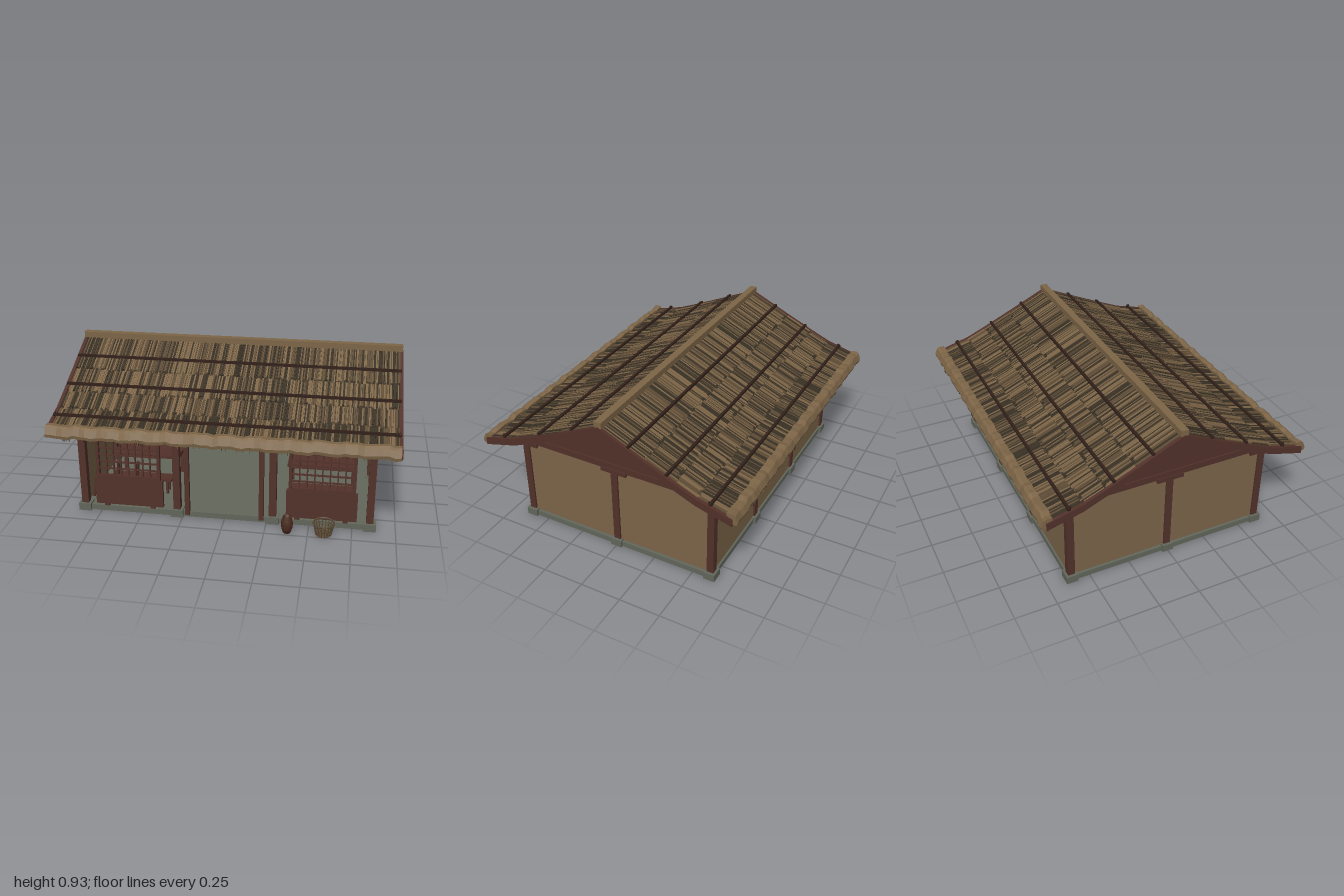
import * as THREE from 'three';
import { mergeGeometries } from 'three/addons/utils/BufferGeometryUtils.js';

const mat = (name, color) => Object.assign(new THREE.MeshStandardMaterial({ color }), { name });

export function createModel() {
  const model = new THREE.Group();
  model.name = 'thatchedHouse';
  const wood = mat('wood', 0x52312a), darkWood = mat('dark wood', 0x32201a);
  const plaster = mat('plaster', 0x7c6549), stone = mat('stone', 0x62665a);
  const strawLight = mat('light straw', 0x7d6547), strawMid = mat('mid straw', 0x5d4b35);
  const strawDark = mat('dark straw', 0x383024), clay = mat('clay', 0x4c2d20);

  let seed = 7;
  const rnd = () => (seed = (seed * 16807) % 2147483647) / 2147483647;

  const add = (name, geo, m, parent = model) => {
    const mesh = new THREE.Mesh(geo, m);
    mesh.name = name;
    parent.add(mesh);
    return mesh;
  };
  const boxGeo = (x, y, z, w, h, d) => new THREE.BoxGeometry(w, h, d).translate(x, y, z);
  const box = (name, m, x, y, z, w, h, d, parent) => add(name, boxGeo(x, y, z, w, h, d), m, parent);
  // Extrudes a [z, y] outline along x, centred on x = 0
  const extrudeX = (pts, len, steps = 1) => {
    const shape = new THREE.Shape(pts.map(([z, y]) => new THREE.Vector2(z, y)));
    return new THREE.ExtrudeGeometry(shape, { depth: len, steps, bevelEnabled: false })
      .rotateY(-Math.PI / 2).translate(len / 2, 0, 0);
  };
  // Straight bar between two points
  const bar = (a, b, r, sides = 6) => {
    const p = new THREE.Vector3(...a), q = new THREE.Vector3(...b), d = q.clone().sub(p);
    const turn = new THREE.Quaternion().setFromUnitVectors(new THREE.Vector3(0, 1, 0), d.clone().normalize());
    return new THREE.CylinderGeometry(r, r, d.length(), sides).applyQuaternion(turn)
      .translate(...p.add(q).multiplyScalar(0.5).toArray());
  };

  // Stone base with pads under the posts
  const postXs = [-0.85, -0.285, 0.285, 0.85];
  box('floorSlab', stone, 0, 0.02, 0, 1.75, 0.034, 1.26);
  const postSpots = [];
  for (const x of postXs) postSpots.push([x, 0.61], [x, -0.61]);
  postSpots.push([0.85, 0], [-0.85, 0]);
  for (const [x, z] of postSpots) {
    box('postPad', stone, x, 0.023, z, 0.075, 0.046, 0.07);
    box('post', wood, x, 0.31, z, 0.042, 0.54, 0.042);
  }

  // Plaster walls; the front is open
  for (const s of [-1, 1]) box('sideWall', plaster, s * 0.85, 0.29, 0, 0.02, 0.5, 1.2);
  box('backWall', plaster, 0, 0.29, -0.61, 1.68, 0.5, 0.02);

  // Top beams, bracket blocks and gables
  for (const s of [-1, 1]) {
    box('longBeam', wood, 0, 0.56, s * 0.61, 1.74, 0.04, 0.045);
    box('sideBeam', wood, s * 0.85, 0.56, 0, 0.045, 0.04, 1.26);
    box('middleBracket', wood, s * 0.85, 0.533, 0, 0.055, 0.028, 0.165);
    add('gable', extrudeX([[-0.57, 0.58], [0.57, 0.58], [0, 0.835]], 0.03), wood).position.x = s * 0.85;
    for (const x of postXs) box('bracket', wood, x, 0.533, s * 0.605, 0.055, 0.028, 0.155);
    for (const x of [-0.57, 0, 0.57]) box('beamEnd', darkWood, x, 0.525, s * 0.64, 0.024, 0.032, 0.07);
  }

  // Front: door jambs, lattice windows and lower panels
  for (const s of [-1, 1]) {
    box('doorJamb', wood, s * 0.22, 0.285, 0.63, 0.028, 0.53, 0.024);
    const win = new THREE.Group();
    win.name = 'latticeWindow';
    win.position.set(s * 0.57, 0, 0.63);
    model.add(win);
    box('lowerPanel', wood, 0, 0.143, 0, 0.41, 0.175, 0.022, win);
    for (const e of [-1, 1]) {
      box('frameSide', wood, e * 0.183, 0.355, 0, 0.018, 0.25, 0.022, win);
      box('frameRail', wood, 0, 0.355 + e * 0.116, 0, 0.38, 0.018, 0.022, win);
      box('panelFoot', wood, e * 0.14, 0.05, 0, 0.03, 0.016, 0.02, win);
    }
    for (let i = 1; i < 8; i++) box('latticeUpright', wood, -0.175 + i * 0.0437, 0.355, 0, 0.008, 0.23, 0.01, win);
    for (let i = 1; i < 5; i++) box('latticeRail', wood, 0, 0.245 + i * 0.044, 0, 0.36, 0.008, 0.01, win);

    // Table and bench inside
    const table = new THREE.Group();
    table.name = 'table';
    table.position.set(s * 0.55, 0, 0.2);
    model.add(table);
    box('tableTop', wood, 0, 0.22, 0, 0.42, 0.02, 0.2, table);
    box('benchTop', wood, 0, 0.13, 0.2, 0.38, 0.016, 0.08, table);
    for (const a of [-1, 1]) for (const b of [-1, 1]) {
      box('tableLeg', wood, a * 0.19, 0.125, b * 0.08, 0.02, 0.18, 0.02, table);
      box('benchLeg', wood, a * 0.16, 0.08, 0.2 + b * 0.025, 0.015, 0.09, 0.015, table);
    }
  }
  // Tools leaning at the left end of the front
  add('leaningPole', bar([-0.795, 0.09, 0.62], [-0.765, 0.28, 0.6], 0.009), wood);
  for (const x of [-0.66, -0.54]) add('tool', bar([x - 0.02, 0.05, 0.5], [x + 0.015, 0.32, 0.58], 0.008), wood);

  // Roof: layered profile from ridge to eave
  const slope = [[0, 0.9], [0.27, 0.777], [0.45, 0.697], [0.58, 0.642], [0.79, 0.585]];
  const roofY = (z) => {
    let i = 0;
    while (i < 3 && z > slope[i + 1][0]) i++;
    const [a, b] = [slope[i], slope[i + 1]];
    return a[1] + (b[1] - a[1]) * (z - a[0]) / (b[0] - a[0]);
  };
  const chevron = (drop, t, len) => {
    const over = [...slope.slice(1).reverse().map(([z, y]) => [-z, y]), ...slope];
    const top = over.map(([z, y]) => [z, y - drop]);
    const low = over.map(([z, y]) => [z, y - drop - t]).reverse();
    return extrudeX([...top, ...low], len);
  };
  add('thatchBase', chevron(0.008, 0.018, 1.96), strawDark);
  for (const s of [-1, 1]) add('bargeBoard', chevron(0, 0.045, 0.02), wood).position.x = s * 0.988;
  for (let i = 0; i < 15; i++) add('rafter', chevron(0.025, 0.018, 0.025), darkWood).position.x = -0.91 + i * 0.13;

  // Straw strips laid in four courses on both slopes
  const straws = [[], [], []];
  for (const s of [-1, 1]) {
    for (let c = 0; c < 4; c++) {
      for (let x = -0.975; x < 0.975;) {
        const w = 0.004 + rnd() * 0.008;
        const z0 = slope[c][0] + 0.005, z1 = slope[c + 1][0] + (c < 3 ? (rnd() - 0.5) * 0.03 : -rnd() * 0.02);
        const y0 = roofY(z0), y1 = roofY(z1);
        const g = new THREE.BoxGeometry(w, 0.007 + rnd() * 0.006, Math.hypot(z1 - z0, y1 - y0));
        g.rotateX(Math.atan2(y0 - y1, z1 - z0)).translate(x + w / 2, (y0 + y1) / 2 - 0.005, (z0 + z1) / 2);
        if (s < 0) g.rotateY(Math.PI);
        const r = rnd() + (c === 3 ? 0.17 : 0);
        straws[r < 0.36 ? 0 : r < 0.66 ? 1 : 2].push(g);
        x += w + rnd() * 0.002;
      }
    }
    // Loose ends hanging from the eave
    for (let i = 0; i < 110; i++) {
      const h = 0.015 + rnd() * 0.025;
      straws[i % 3].push(boxGeo(-0.97 + rnd() * 1.94, 0.565 - h / 2, s * (0.79 + rnd() * 0.022), 0.003, h, 0.004));
    }
  }
  [strawLight, strawMid, strawDark].forEach((m, i) => add('thatchStraws', mergeGeometries(straws[i]), m));

  // Bound straw bundle along each eave, slightly uneven
  for (const s of [-1, 1]) {
    const g = extrudeX([[0.755, 0.565], [0.775, 0.543], [0.812, 0.546], [0.816, 0.565], [0.8, 0.602], [0.785, 0.612], [0.752, 0.61]], 1.98, 60);
    const p = g.attributes.position;
    for (let i = 0; i < p.count; i++) {
      const x = p.getX(i);
      p.setY(i, p.getY(i) + 0.004 * Math.sin(x * 37) + 0.003 * Math.sin(x * 83 + 1));
      p.setZ(i, p.getZ(i) + 0.003 * Math.sin(x * 51 + 2));
    }
    g.computeVertexNormals();
    if (s < 0) g.rotateY(Math.PI);
    add('eaveBundle', g, strawLight);

    // Poles that hold the thatch down
    for (const z of [0.178, 0.405, 0.66]) box('roofPole', darkWood, 0, roofY(z) + 0.008, s * z, 1.98, 0.015, 0.015);
    for (const x of [-0.98, 0.98]) {
      add('poleTie', new THREE.TorusGeometry(0.012, 0.003, 5, 10).rotateY(Math.PI / 2)
        .translate(x, roofY(0.66) + 0.01, s * 0.66), darkWood);
    }
  }
  box('ridgeCap', strawLight, 0, 0.912, 0, 1.99, 0.036, 0.044);
  box('ridgeBeam', wood, 0, 0.868, 0, 1.97, 0.025, 0.03);

  // Clay jar
  const jar = [[0, 0], [0.022, 0], [0.032, 0.03], [0.035, 0.06], [0.03, 0.085], [0.024, 0.095], [0.026, 0.102], [0.02, 0.102], [0.018, 0.09], [0, 0.088]];
  add('jar', new THREE.LatheGeometry(jar.map(([x, y]) => new THREE.Vector2(x, y)), 16), clay).position.set(0.38, 0.003, 0.72);

  // Open woven basket
  const basket = new THREE.Group();
  basket.name = 'basket';
  basket.position.set(0.59, 0, 0.71);
  model.add(basket);
  const radius = (y) => 0.044 + y * 0.21;
  add('basketBottom', new THREE.CylinderGeometry(0.044, 0.044, 0.006, 16).translate(0, 0.006, 0), strawMid, basket);
  for (const y of [0.006, 0.022, 0.038, 0.054, 0.075]) {
    add('basketHoop', new THREE.TorusGeometry(radius(y), y > 0.07 ? 0.005 : 0.003, 5, 20).rotateX(Math.PI / 2).translate(0, y, 0), strawMid, basket);
  }
  for (let i = 0; i < 18; i++) {
    const a = i / 18 * Math.PI * 2, c = Math.cos(a), d = Math.sin(a), r0 = radius(0.003), r1 = radius(0.077);
    add('basketStave', bar([c * r0, 0.003, d * r0], [c * r1, 0.077, d * r1], 0.003, 5), strawMid, basket);
  }
  return model;
}
